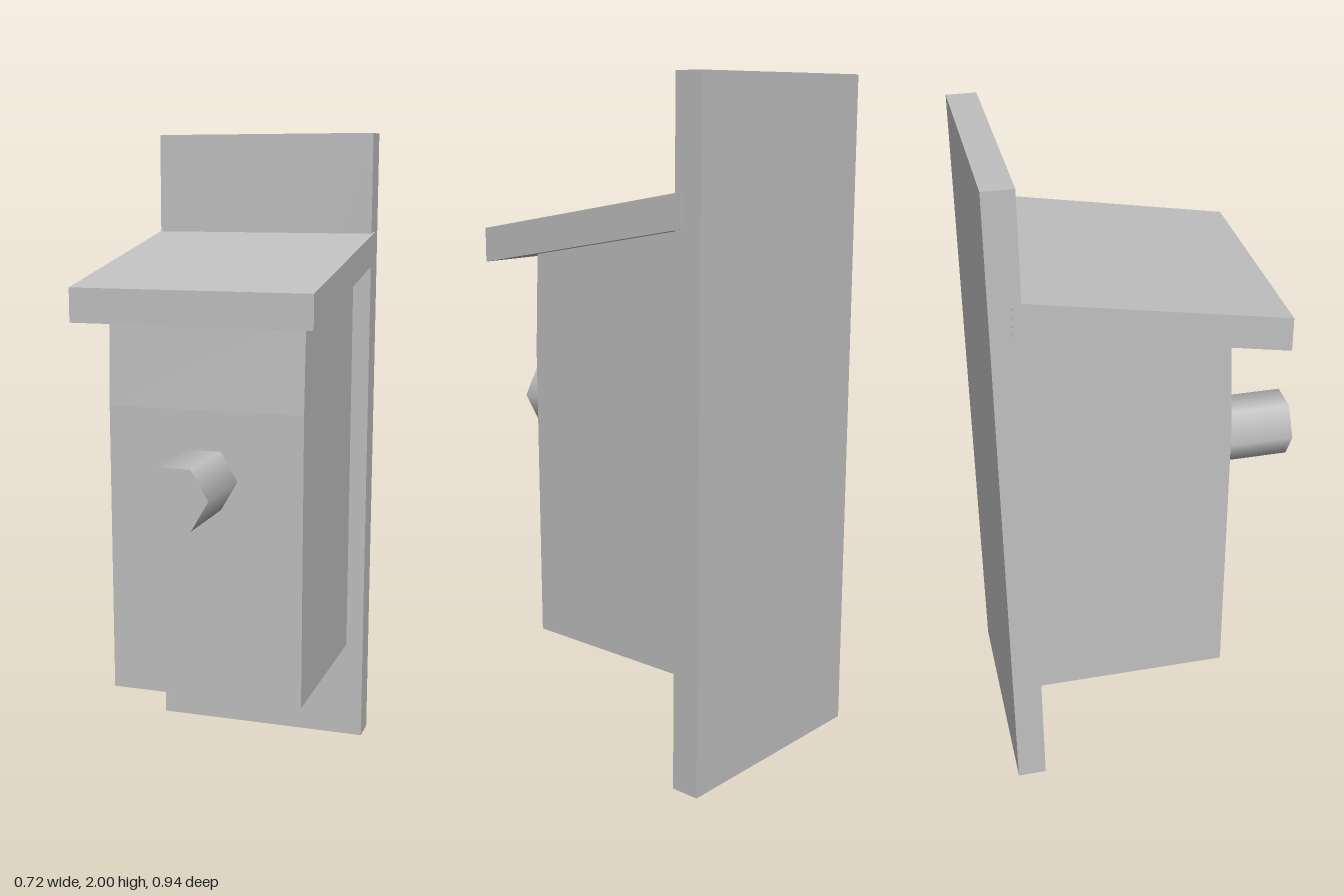
import * as THREE from 'three';

const grey = new THREE.MeshStandardMaterial({ color: 0xc0c0c0 });
grey.name = 'plain grey';

function part(name, geometry) {
  const mesh = new THREE.Mesh(geometry, grey);
  mesh.name = name;
  return mesh;
}

// Extrudes a side profile of [z, y] points across the width from x0 to x1
function sideProfile(points, x0, x1) {
  const shape = new THREE.Shape(points.map(([z, y]) => new THREE.Vector2(z, y)));
  return new THREE.ExtrudeGeometry(shape, { depth: x1 - x0, bevelEnabled: false })
    .rotateY(-Math.PI / 2)
    .translate(x1, 0, 0);
}

export function createModel() {
  const birdhouse = new THREE.Group();
  birdhouse.name = 'birdhouse';

  // Tall mounting board
  const board = part('backBoard', new THREE.BoxGeometry(0.71, 2, 0.087));
  board.position.set(-0.004, 1, -0.427);

  // Nest box with a sloping top, front leaning in slightly under the roof
  const box = part('nestBox', sideProfile(
    [[-0.385, 0.32], [0.204, 0.316], [0.208, 1.2], [0.196, 1.49], [-0.385, 1.598]], -0.303, 0.295));

  // Overhanging slanted roof, let into the board
  const roof = part('roof', sideProfile(
    [[0.352, 1.458], [0.352, 1.558], [-0.385, 1.69], [-0.41, 1.694], [-0.41, 1.598]], -0.361, 0.357));

  // Hexagonal perch
  const perch = part('perch', new THREE.CylinderGeometry(0.101, 0.101, 0.28, 6)
    .rotateY(Math.PI / 6)
    .rotateX(Math.PI / 2));
  perch.position.set(-0.005, 0.993, 0.33);

  birdhouse.add(board, box, roof, perch);
  return birdhouse;
}
